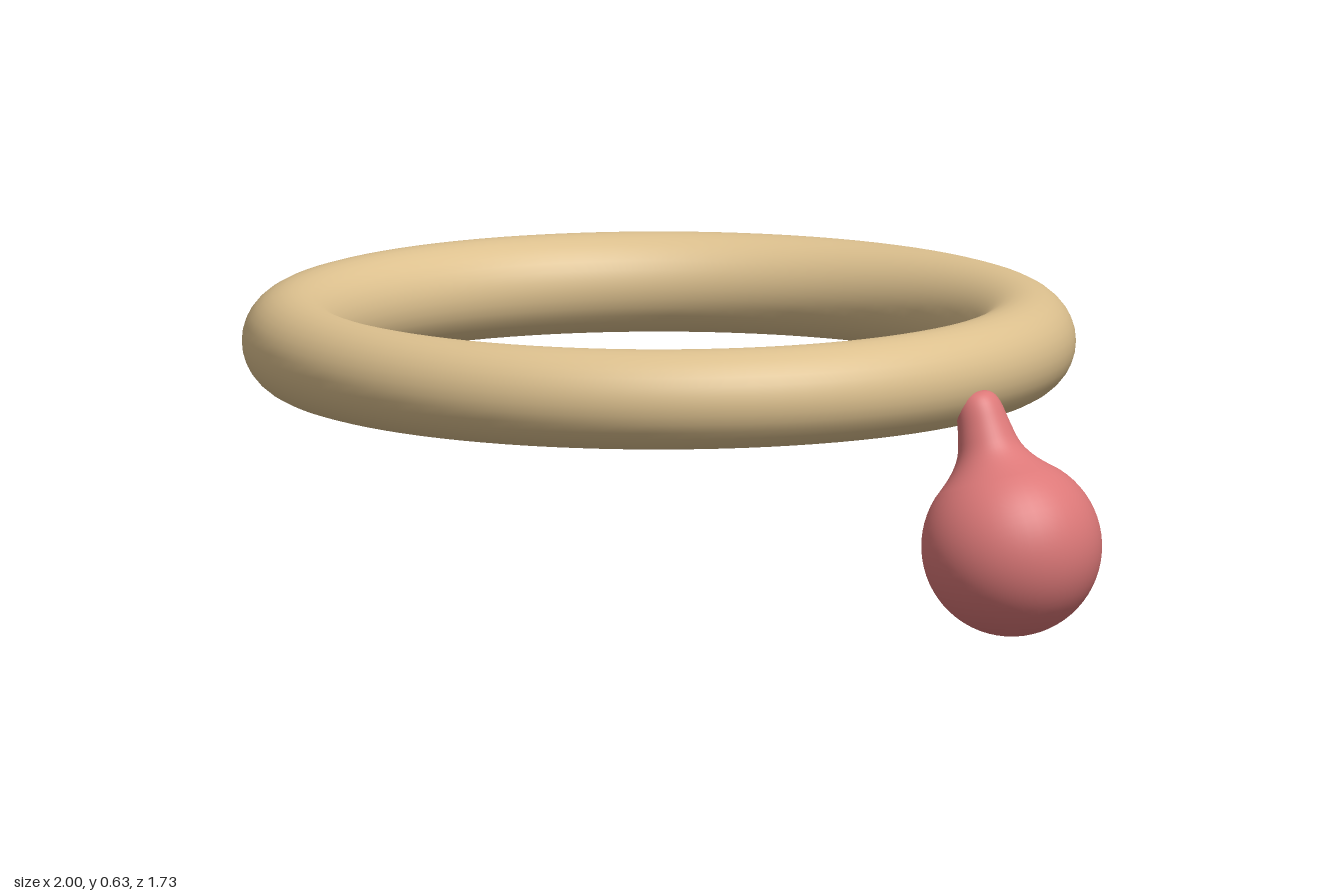
import * as THREE from 'three';

export function createModel() {
  const group = new THREE.Group();
  const tan = new THREE.MeshStandardMaterial({ name: 'tan', color: 0xdcc08e });
  const coral = new THREE.MeshStandardMaterial({ name: 'coral', color: 0xdc7878 });

  // Ring lying flat
  const ring = new THREE.Mesh(new THREE.TorusGeometry(0.762, 0.104, 32, 96), tan);
  ring.name = 'ring';
  ring.rotation.x = -Math.PI / 2;
  ring.position.set(-0.135, 0.523, 0);
  group.add(ring);

  // Ball that narrows into a neck leaning towards the ring
  const radius = 0.188;
  const profile = [];
  for (let i = 0; i <= 24; i++) {
    const a = (i / 24) * Math.PI * 0.75;
    profile.push(new THREE.Vector2(radius * Math.sin(a), -radius * Math.cos(a)));
  }
  const neck = new THREE.SplineCurve([
    profile[profile.length - 1],
    new THREE.Vector2(0.093, 0.169),
    new THREE.Vector2(0.068, 0.205),
    new THREE.Vector2(0.056, 0.25),
    new THREE.Vector2(0.046, 0.3),
    new THREE.Vector2(0.03, 0.324),
    new THREE.Vector2(0, 0.332),
  ]);
  profile.push(...neck.getPoints(24).slice(1));
  const ball = new THREE.Mesh(new THREE.LatheGeometry(profile, 48), coral);
  ball.name = 'ballWithNeck';
  ball.position.set(0.811, radius, 0);
  ball.rotation.z = 0.3;
  group.add(ball);

  return group;
}
